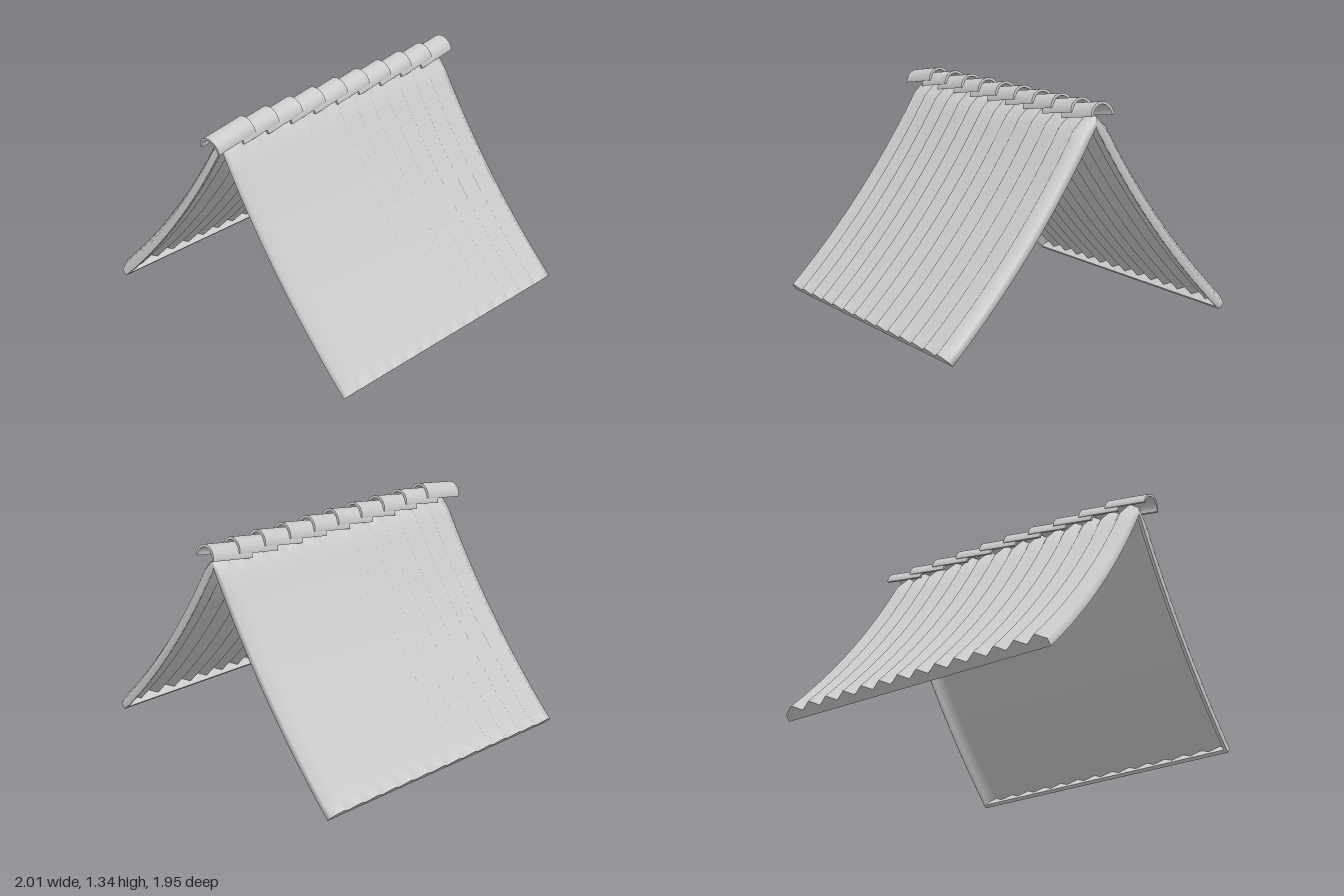
import * as THREE from 'three';
import { toCreasedNormals } from 'three/addons/utils/BufferGeometryUtils.js';

const Z_FRONT = 0.885, Z_BACK = -0.915, RIBS = 14;
const PEAK = 0.086, VALLEY = 0.044, SHEET = 0.02;
const ROWS = 20;

const material = new THREE.MeshStandardMaterial({ color: 0xcccccc, side: THREE.DoubleSide });

// Sagging slope line (underside), from the ridge down to the eave
const slope = new THREE.QuadraticBezierCurve(
  new THREE.Vector2(0, 1.2), new THREE.Vector2(0.39, 0.53), new THREE.Vector2(0.943, 0));

// Point at s along the slope, lifted by d from the underside
function slopePoint(s, d, z, side) {
  const p = slope.getPoint(s), t = slope.getTangent(s);
  if (s === 0) return [0, p.y + d, z]; // both slopes meet at the ridge
  return [side * Math.max(0, p.x - t.y * d), p.y + t.x * d, z];
}

// Smooth grid surface of rows x cols points
function grid(rows, cols, point, flip) {
  const pos = [], index = [];
  for (let j = 0; j < rows; j++) for (let i = 0; i < cols; i++) pos.push(...point(j, i));
  for (let j = 0; j < rows - 1; j++) for (let i = 0; i < cols - 1; i++) {
    const a = j * cols + i, b = a + cols, c = a + 1, d = b + 1;
    if (flip) index.push(a, c, b, b, c, d);
    else index.push(a, b, c, b, d, c);
  }
  const g = new THREE.BufferGeometry();
  g.setAttribute('position', new THREE.Float32BufferAttribute(pos, 3));
  g.setIndex(index);
  g.computeVertexNormals();
  return g;
}

function mesh(name, geometry) {
  const m = new THREE.Mesh(geometry, material);
  m.name = name;
  return m;
}

// Zigzag line of the ribs: [z, d] from front to back
const ribs = [];
for (let i = 0; i <= RIBS * 2; i++) {
  ribs.push([Z_FRONT + (Z_BACK - Z_FRONT) * i / (RIBS * 2), i % 2 ? PEAK : VALLEY]);
}

// Closed cross-section: ribbed top, rims turned down at both ends, ribbed underside
const section = [
  [Z_FRONT, 0], ...ribs, [Z_BACK, 0], [Z_BACK + SHEET, 0],
  ...ribs.map(([z, d]) => [THREE.MathUtils.clamp(z, Z_BACK + SHEET, Z_FRONT - SHEET), d - SHEET]).reverse(),
  [Z_FRONT - SHEET, 0], [Z_FRONT, 0],
];

function roofSlope(side) {
  const g = new THREE.Group();
  g.name = side > 0 ? 'leftSlope' : 'rightSlope';
  g.add(mesh('ribbedSheet', grid(ROWS + 1, section.length, (j, i) => {
    // one extra row close to the ridge keeps the mitre short
    const s = j === 0 ? 0 : 0.05 + 0.95 * (j - 1) / (ROWS - 1);
    return slopePoint(s, section[i][1], section[i][0], side);
  }, side < 0)));

  // Eave board closing the lower end below the ribs
  const board = grid(ribs.length, 4, (j, i) => {
    const [z, d] = ribs[j];
    return slopePoint(i < 2 ? 0.985 : 1, i === 0 ? d - SHEET : i === 3 ? d : 0, z, side);
  }, side < 0);
  g.add(mesh('eaveBoard', toCreasedNormals(board, 0.6)));
  return g;
}

// Half-round ridge tiles, each tilted to overlap the next
function ridgeTiles() {
  const g = new THREE.Group();
  g.name = 'ridgeTiles';
  const R = 0.078, LENGTH = 0.276, COUNT = 10;
  const arch = new THREE.Shape();
  arch.absarc(0, 0, R, 0, Math.PI, false);
  arch.absarc(0, 0, R - 0.015, Math.PI, 0, true);
  arch.closePath();
  const tile = toCreasedNormals(
    new THREE.ExtrudeGeometry(arch, { depth: LENGTH, bevelEnabled: false, curveSegments: 16 })
      .translate(0, 0, -LENGTH / 2), 0.6);
  for (let i = 0; i < COUNT; i++) {
    const m = mesh('ridgeTile', tile);
    m.position.set(0, 1.243, 0.831 - i * 0.1847);
    m.rotation.x = 0.16;
    g.add(m);
  }
  return g;
}

export function createModel() {
  const roof = new THREE.Group();
  roof.name = 'roof';
  roof.add(roofSlope(1), roofSlope(-1), ridgeTiles());
  return roof;
}
